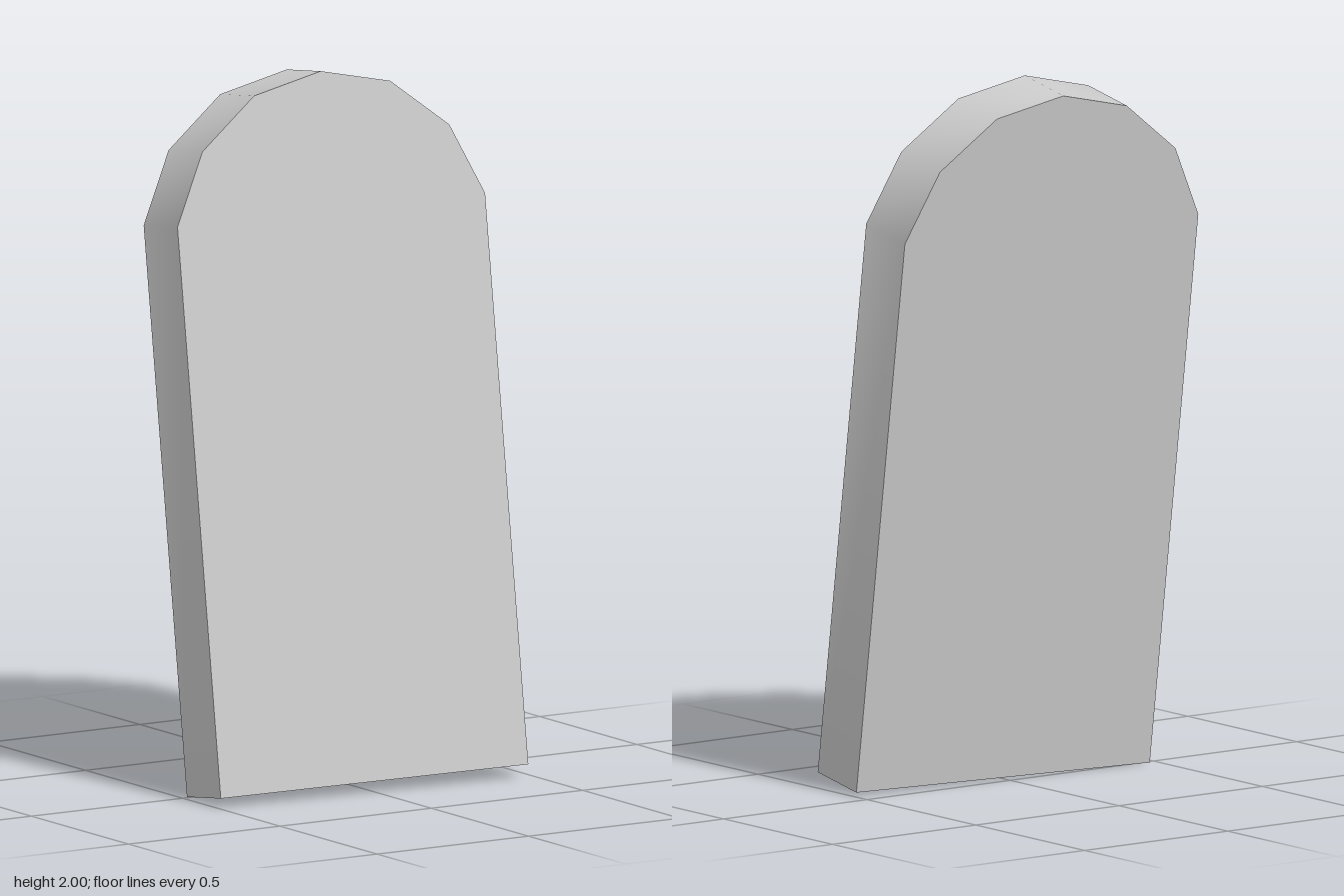
import * as THREE from 'three';
import { toCreasedNormals } from 'three/addons/utils/BufferGeometryUtils.js';

export function createModel() {
  const group = new THREE.Group();
  const thickness = 0.2;

  // Right half of the faceted arch, from shoulder to near the apex; mirrored for the left
  const arch = [[0.486, 1.596], [0.39, 1.797], [0.215, 1.936]];
  const outline = [
    [-0.486, 0], [0.486, 0],
    ...arch,
    [0, 1.984],
    ...arch.map(([x, y]) => [-x, y]).reverse(),
  ];
  const shape = new THREE.Shape(outline.map(([x, y]) => new THREE.Vector2(x, y)));

  // Slab with its front face on the local z = 0 plane, rim smoothed across the arch
  const slab = new THREE.ExtrudeGeometry(shape, { depth: thickness, bevelEnabled: false });
  slab.translate(0, 0, -thickness);
  const headstone = new THREE.Mesh(
    toCreasedNormals(slab, 0.6),
    new THREE.MeshStandardMaterial({ color: 0xcccccc })
  );
  headstone.name = 'headstone';

  // Leans back and is turned slightly, pivoting on its lower front edge
  headstone.rotation.set(-0.14, -0.075, 0);
  headstone.position.set(-0.009, 0.035, 0.222);
  group.add(headstone);

  return group;
}
